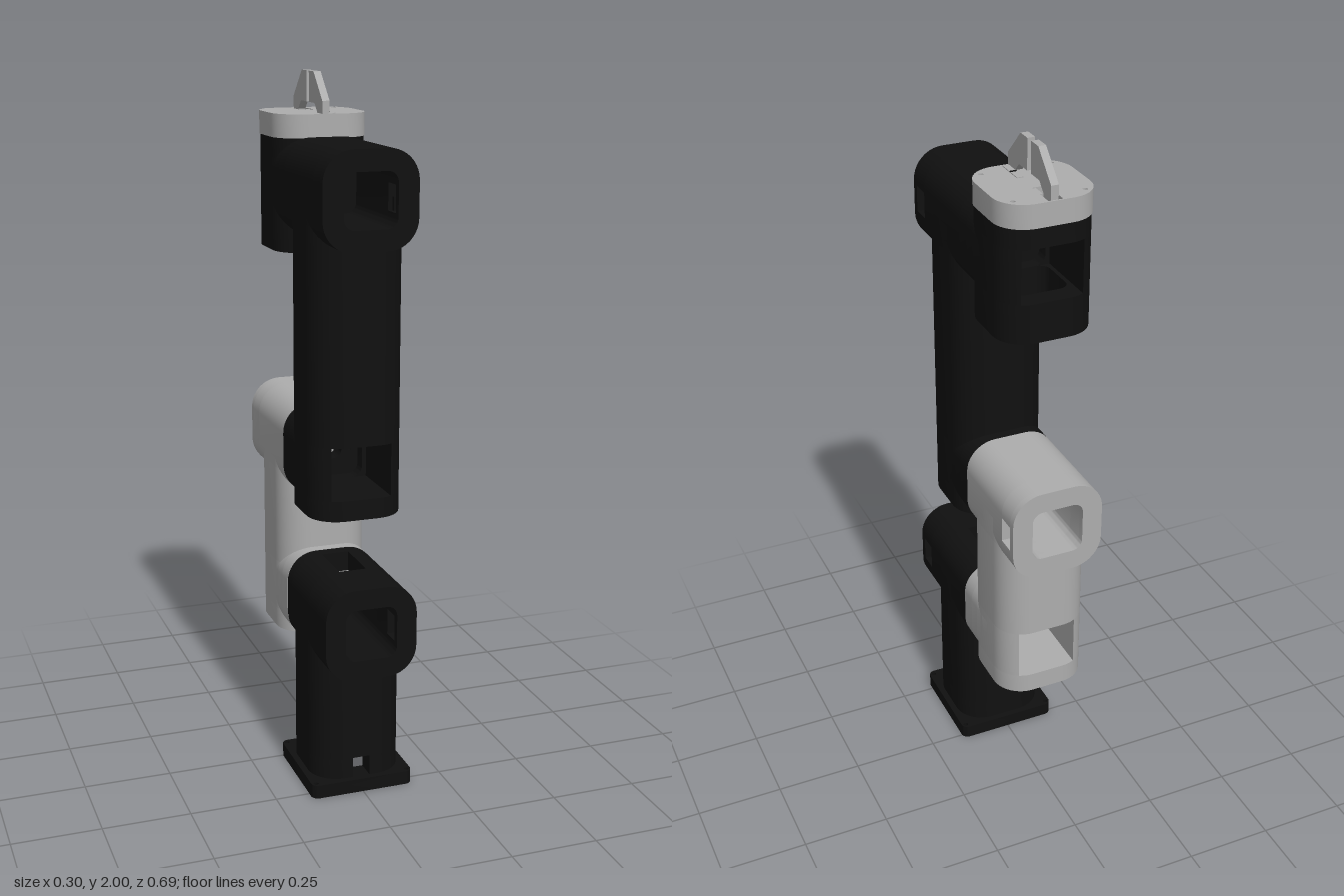
import * as THREE from 'three';
import { toCreasedNormals } from 'three/addons/utils/BufferGeometryUtils.js';

const W = 0.133, R = 0.085;   // outer half width and corner radius of every tube
const I = 0.075, IR = 0.03;   // inner half width and corner radius
const black = new THREE.MeshStandardMaterial({ name: 'black plastic', color: 0x101010 });
const grey = new THREE.MeshStandardMaterial({ name: 'grey plastic', color: 0xadadad });

// Rounded square outline, counter-clockwise, starting on the +x side
function outline(h, r, n = 10) {
  const pts = [];
  for (let q = 0; q < 4; q++) {
    const cx = (q === 0 || q === 3 ? 1 : -1) * (h - r), cy = (q < 2 ? 1 : -1) * (h - r);
    for (let i = 0; i <= n; i++) {
      const a = (q + i / n) * Math.PI / 2;
      pts.push(new THREE.Vector2(cx + r * Math.cos(a), cy + r * Math.sin(a)));
    }
  }
  return pts;
}

function solid() { return new THREE.Shape(outline(W, R)); }

// Tube section; a gap of half width g opens the side given by quarter turns
function ring(g = 0, turn = 0) {
  if (!g) {
    const s = solid();
    s.holes.push(new THREE.Path(outline(I, IR)));
    return s;
  }
  const cut = (h, r) => {
    const d = Math.max(0, g - h + r);
    const x = h - r + Math.sqrt(Math.max(0, r * r - d * d));
    const kept = outline(h, r).filter(p => !(p.x > 0 && Math.abs(p.y) <= g));
    return [new THREE.Vector2(x, g), ...kept, new THREE.Vector2(x, -g)];
  };
  const pts = [...cut(W, R), ...cut(I, IR).reverse()];
  const o = new THREE.Vector2();
  return new THREE.Shape(pts.map(p => p.rotateAround(o, turn * Math.PI / 2)));
}

// The two side walls of a tube section
function sides() {
  return [1, -1].map(s => new THREE.Shape(outline(W, R).filter(p => p.x * s >= I)));
}

function add(group, name, mat, geo, x = 0, y = 0, z = 0) {
  const mesh = new THREE.Mesh(geo, mat);
  mesh.name = name;
  mesh.position.set(x, y, z);
  group.add(mesh);
  return mesh;
}

function extrude(shape, depth) {
  return new THREE.ExtrudeGeometry(shape, { depth, bevelEnabled: false, curveSegments: 20 });
}

// Extrude upward from y0 to y1, centred on z
function alongY(group, name, mat, shape, z, y0, y1) {
  const geo = extrude(shape, y1 - y0).rotateX(-Math.PI / 2);
  return add(group, name, mat, toCreasedNormals(geo, 0.6), 0, y0, z);
}

// Extrude forward from z0 to z1, centred on y
function alongZ(group, name, mat, shape, y, z0, z1) {
  return add(group, name, mat, toCreasedNormals(extrude(shape, z1 - z0), 0.6), 0, y, z0);
}

function circle(x, y, r) {
  return new THREE.Path().absarc(x, y, r, 0, Math.PI * 2, true);
}

function box(group, name, mat, x0, x1, y0, y1, z0, z1) {
  add(group, name, mat, new THREE.BoxGeometry(x1 - x0, y1 - y0, z1 - z0),
    (x0 + x1) / 2, (y0 + y1) / 2, (z0 + z1) / 2);
}

// Horizontal motor housing, open at both ends, with a side window
function head(group, mat, y, z0, z1, turn, topHole) {
  const a = z1 - 0.075, b = z1 - 0.02;
  const parts = topHole
    ? [[z0, 0.04], [0.04, 0.19, 0.04, 1], [0.19, a]]
    : [[z0, a]];
  parts.push([a, b, 0.037, turn], [b, z1]);
  for (const [p, q, g, t] of parts) alongZ(group, 'motorHousing', mat, ring(g, t), y, p, q);
}

// Driven joint: drilled disc at z = 0, elbow into a column, rear opening
const COL = 0.03 + W;
function joint(group, mat, y) {
  const disc = solid();
  disc.holes.push(circle(0, 0, 0.026));
  for (let i = 0; i < 3; i++) {
    const a = i * Math.PI * 2 / 3;
    disc.holes.push(circle(0.05 * Math.cos(a), 0.05 * Math.sin(a), 0.006));
  }
  alongZ(group, 'jointDisc', mat, disc, y, 0, 0.05);
  alongZ(group, 'jointCollar', mat, ring(), y, 0.05, 0.088);
  for (const s of sides()) {
    alongZ(group, 'elbowSide', mat, s, y, 0.088, COL);
    alongY(group, 'columnSide', mat, s, COL, y - I, y + I);
  }
}

// Arm link: joint at the bottom, column, motor housing at the top
function link(name, mat, y0, y1, length, windowTurn) {
  const g = new THREE.Group();
  g.name = name;
  joint(g, mat, y0);
  alongY(g, 'columnFloor', mat, solid(), COL, y0 - W, y0 - I);
  alongY(g, 'column', mat, ring(), COL, y0 + I, y1 - I);
  for (const s of sides()) alongY(g, 'columnSide', mat, s, COL, y1 - I, y1);
  head(g, mat, y1, 0.03, length, windowTurn, false);
  return g;
}

function base() {
  const g = new THREE.Group();
  g.name = 'base';
  const zc = 0.135, y = 0.508;
  // Mounting flange with corner screw holes
  const flange = new THREE.Shape(outline(0.151, 0.02));
  flange.holes.push(new THREE.Path(outline(I, IR)));
  for (const x of [-1, 1]) for (const z of [-1, 1]) flange.holes.push(circle(x * 0.138, z * 0.136, 0.007));
  alongY(g, 'flange', black, flange, zc, 0, 0.04);
  // Column with a cable gap at the front
  alongY(g, 'columnFoot', black, ring(0.025, 3), zc, 0.04, 0.1);
  alongY(g, 'column', black, ring(), zc, 0.1, y - I);
  for (const s of sides()) alongY(g, 'columnSide', black, s, zc, y - I, y);
  head(g, black, y, 0.003, 0.345, 0, true);
  return g;
}

function wrist() {
  const g = new THREE.Group();
  g.name = 'wrist';
  const y = 1.695;
  joint(g, black, y);
  alongY(g, 'wristSkirt', black, ring(), COL, 1.51, y - I);
  alongY(g, 'wristTop', black, ring(), COL, y + I, 1.825);
  return g;
}

function gripper() {
  const g = new THREE.Group();
  g.name = 'gripper';
  const zc = -0.163;
  // Cover plate with screw holes and a sliding slot
  const cap = new THREE.Shape(outline(0.135, 0.085));
  for (const x of [-1, 1]) for (const z of [-1, 1]) {
    cap.holes.push(circle(x * 0.098, z * 0.098, 0.007));
    const rim = new THREE.RingGeometry(0.007, 0.014, 24).rotateX(-Math.PI / 2);
    add(g, 'screwRim', grey, rim, x * 0.098, 1.891, zc + z * 0.098);
  }
  const slot = [[-0.022, 0.037], [0.018, 0.037], [0.018, 0.13], [-0.022, 0.13]];
  cap.holes.push(new THREE.Path(slot.map(([x, y]) => new THREE.Vector2(x, y))));
  alongY(g, 'coverPlate', grey, cap, zc, 1.825, 1.89);
  box(g, 'slotFloor', black, -0.03, 0.03, 1.815, 1.824, -0.29, -0.19);
  // Sliding racks beside the fingers
  box(g, 'rearRack', grey, 0.008, 0.018, 1.84, 1.888, -0.24, -0.2);
  box(g, 'frontRack', grey, 0.008, 0.026, 1.84, 1.892, -0.127, -0.035);
  box(g, 'rackGap', black, 0.008, 0.026, 1.884, 1.893, -0.087, -0.08);
  // Mirrored fingers, profile as distance from the grip centre and height
  const profile = [[0.011, 1.915], [0.06, 1.915], [0.085, 1.89], [0.085, 1.85],
    [0.127, 1.85], [0.127, 1.925], [0.052, 2], [0.011, 2]];
  for (const s of [1, -1]) {
    const shape = new THREE.Shape(profile.map(([d, y]) => new THREE.Vector2(s * d, y)));
    const geo = extrude(shape, 0.021).rotateY(-Math.PI / 2);
    add(g, s > 0 ? 'frontFinger' : 'rearFinger', grey, geo, 0.008, 0, -0.159);
  }
  return g;
}

export function createModel() {
  const model = new THREE.Group();
  model.name = 'robotArm';
  const lower = link('lowerArm', grey, 0.508, 0.948, 0.345, 2);
  lower.rotation.y = Math.PI;
  const upper = link('upperArm', black, 0.948, 1.695, 0.35, 0);
  upper.position.z = -0.03;
  const hand = wrist();
  hand.rotation.y = Math.PI;
  model.add(base(), lower, upper, hand, gripper());
  return model;
}
